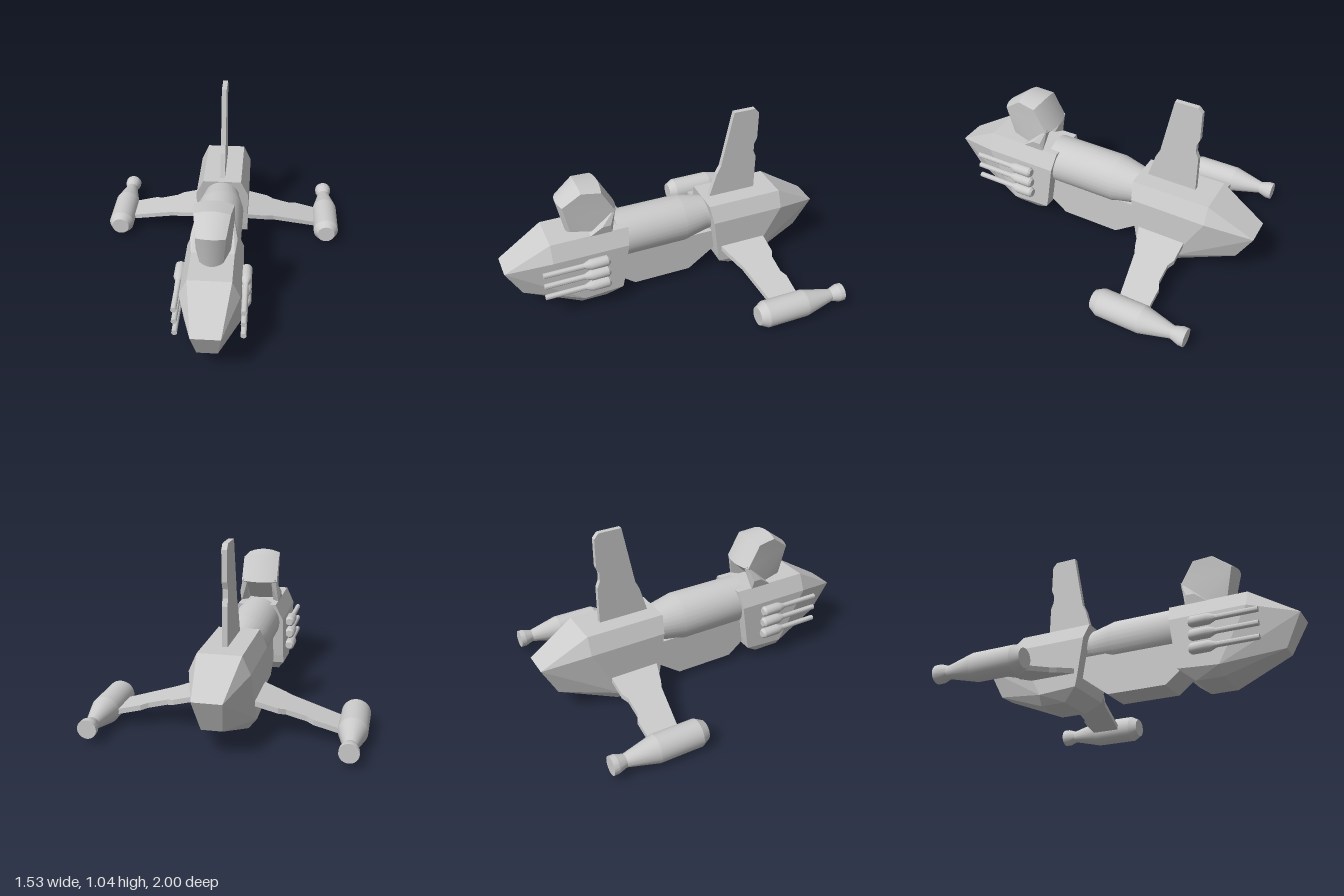
import * as THREE from 'three';
import { toCreasedNormals } from 'three/addons/utils/BufferGeometryUtils.js';
import { ConvexGeometry } from 'three/addons/geometries/ConvexGeometry.js';

const material = new THREE.MeshStandardMaterial({ color: 0xcccccc });

function add(parent, name, geometry) {
  const mesh = new THREE.Mesh(geometry, material);
  mesh.name = name;
  parent.add(mesh);
  return mesh;
}

// Convex solid from points given on one side and mirrored across x = 0
function mirroredHull(points, zSign = 1) {
  const all = points.flatMap(([x, y, z]) => [
    new THREE.Vector3(x, y, z * zSign),
    new THREE.Vector3(-x, y, z * zSign),
  ]);
  return new ConvexGeometry(all);
}

// Round body along z; profile is [radius, z] with rising z
function turned(profile, segments = 32) {
  const g = new THREE.LatheGeometry(profile.map(([r, z]) => new THREE.Vector2(r, z)), segments);
  g.rotateX(Math.PI / 2);
  return toCreasedNormals(g, segments > 20 ? 0.22 : 0.5);
}

function plate(points, depth) {
  const shape = new THREE.Shape(points.map(([x, y]) => new THREE.Vector2(x, y)));
  const g = new THREE.ExtrudeGeometry(shape, { depth, bevelEnabled: false });
  g.translate(0, 0, -depth / 2);
  return g;
}

// Upright plate with its outline given as [z, y]
const uprightPlate = (points, depth) => plate(points, depth).rotateY(-Math.PI / 2);

// Cockpit: side outline [z, y, halfWidth] swept across x, slightly crowned
function cockpitGeometry() {
  const outline = [
    [0.655, 0.71, 0.08], [0.53, 0.805, 0.1], [0.4, 0.79, 0.113], [0.31, 0.63, 0.113],
    [0.45, 0.49, 0.1], [0.61, 0.5, 0.065],
  ];
  const steps = 12, n = outline.length, cz = 0.49, cy = 0.65;
  const pos = [], index = [];
  for (let i = 0; i <= steps; i++) {
    const t = (i / steps) * 2 - 1;
    const s = 1 - 0.13 * t * t;
    for (const [z, y, w] of outline) pos.push(w * t, cy + (y - cy) * s, cz + (z - cz) * s);
  }
  for (let i = 0; i < steps; i++) {
    for (let j = 0; j < n; j++) {
      const a = i * n + j, b = i * n + (j + 1) % n;
      index.push(a, b, a + n, b, b + n, a + n);
    }
  }
  for (let j = 1; j < n - 1; j++) {
    const e = steps * n;
    index.push(0, j + 1, j, e, e + j, e + j + 1);
  }
  const g = new THREE.BufferGeometry();
  g.setAttribute('position', new THREE.Float32BufferAttribute(pos, 3));
  g.setIndex(index);
  // Keep faces outward whichever way the outline runs
  const v = (k) => new THREE.Vector3().fromArray(pos, k * 3);
  const m = (steps / 2) * n;
  const normal = v(m + 1).sub(v(m)).cross(v(m + n).sub(v(m)));
  if (normal.dot(v(m).sub(new THREE.Vector3(0, cy, cz))) < 0) g.setIndex(index.reverse());
  return toCreasedNormals(g, 0.3);
}

export function createModel() {
  const model = new THREE.Group();
  model.name = 'spaceship';

  // Faceted front and rear hulls
  const hull = [
    [0.12, 0.5, 0.73], [0.12, 0.5, 0.26], [0.165, 0.4, 0.73], [0.165, 0.4, 0.275],
    [0.165, 0.15, 0.31], [0.165, 0.1, 0.32], [0.165, 0.085, 0.56], [0.12, 0.03, 0.57],
    [0.12, 0.03, 0.41], [0.08, 0.34, 1], [0.057, 0.155, 0.905],
  ];
  add(model, 'frontHull', mirroredHull(hull));
  add(model, 'rearHull', mirroredHull(hull, -1));

  // Round middle body with a tapered rear and the keel below
  const body = add(model, 'middleBody', turned([
    [0, -0.32], [0.105, -0.32], [0.11, -0.26], [0.143, -0.11], [0.143, 0.32], [0, 0.32],
  ]));
  body.position.y = 0.385;
  add(model, 'keel', uprightPlate([
    [0.36, 0.3], [0.34, 0.14], [0.22, 0.045], [-0.14, 0.045], [-0.31, 0.17], [-0.31, 0.3],
  ], 0.2));

  // Cockpit pod and its mount
  add(model, 'cockpit', cockpitGeometry());
  for (const s of [-1, 1]) {
    const pts = [
      [0.105, 0.65, 0.33], [0.132, 0.55, 0.37], [0.12, 0.49, 0.36], [0.12, 0.49, 0.5],
      [0.132, 0.55, 0.42], [0.08, 0.49, 0.5], [0.08, 0.62, 0.33], [0.08, 0.49, 0.4],
    ];
    add(model, 'cockpitMount', new ConvexGeometry(pts.map(([x, y, z]) => new THREE.Vector3(s * x, y, z))));
  }

  // Tail fin
  add(model, 'tailFin', uprightPlate([
    [-0.3, 0.48], [-0.35, 0.65], [-0.375, 0.7], [-0.445, 1.05], [-0.58, 1.05], [-0.607, 1.02],
    [-0.607, 0.85], [-0.59, 0.81], [-0.59, 0.76], [-0.607, 0.72], [-0.607, 0.48],
  ], 0.03));

  const gun = turned([
    [0, 0.405], [0.022, 0.405], [0.032, 0.418], [0.032, 0.52], [0.016, 0.56], [0.016, 0.8], [0, 0.8],
  ], 16);
  const engine = turned([
    [0, -0.88], [0.053, -0.88], [0.053, -0.85], [0.037, -0.8], [0.08, -0.62],
    [0.08, -0.365], [0.055, -0.318], [0, -0.318],
  ]);
  const wingOutline = [
    [0.1, -0.31], [0.165, -0.33], [0.29, -0.37], [0.335, -0.39], [0.64, -0.445], [0.64, -0.62],
    [0.48, -0.62], [0.44, -0.6], [0.33, -0.6], [0.29, -0.62], [0.1, -0.62],
  ];

  for (const s of [-1, 1]) {
    const side = new THREE.Group();
    side.name = s > 0 ? 'leftSide' : 'rightSide';
    model.add(side);

    // Wing sloping down towards the engine
    const wing = plate(wingOutline.map(([x, z]) => [s * x, z]), 0.03).rotateX(Math.PI / 2);
    const p = wing.attributes.position;
    for (let i = 0; i < p.count; i++) p.setY(i, p.getY(i) + 0.24 - 0.255 * Math.abs(p.getX(i)));
    wing.computeVertexNormals();
    add(side, 'wing', wing);

    // Wing tip engine
    add(side, 'engine', engine).position.set(s * 0.687, 0.085, 0);

    // Stack of three guns
    for (const y of [0.19, 0.27, 0.35]) add(side, 'gun', gun).position.set(s * 0.187, y, 0);
  }
  return model;
}
